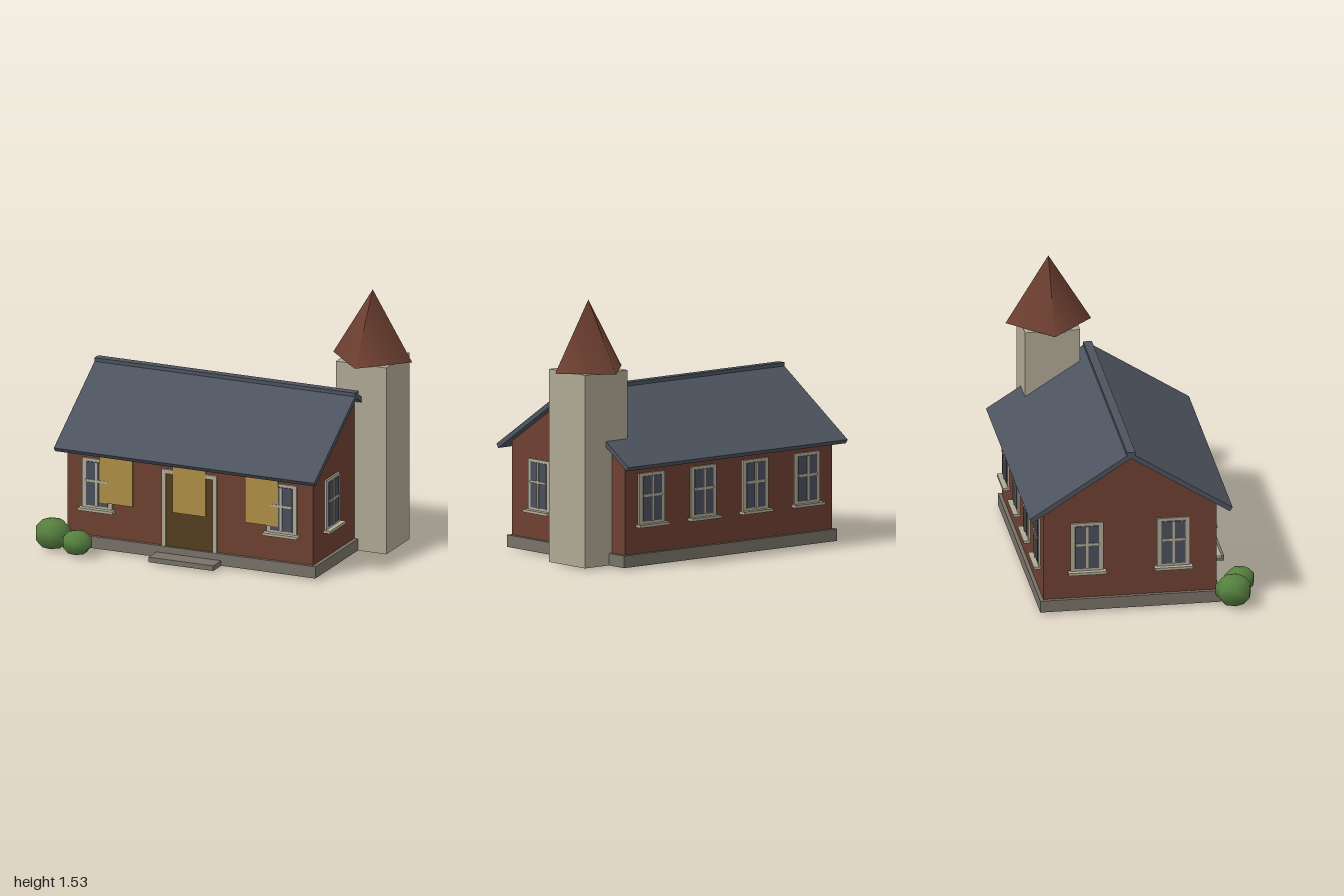
import * as THREE from 'three';

const mat = (name, color) => {
  const m = new THREE.MeshStandardMaterial({ color });
  m.name = name;
  return m;
};

export function createModel() {
  const brick = mat('brick red', 0x6e4031);
  const slate = mat('slate', 0x4d535e);
  const glass = mat('window glass', 0x4a4f5c);
  const stone = mat('pale stone', 0xb0a995);
  const base = mat('foundation grey', 0x787268);
  const wood = mat('door brown', 0x543f1e);
  const ochre = mat('ochre', 0xb08f45);
  const leaf = mat('leaf green', 0x56803f);

  const house = new THREE.Group();
  house.name = 'house';
  const CX = -0.068, CZ = -0.08;          // centre of the main building
  const HW = 0.773, HD = 0.502;           // half width and half depth of the walls

  const add = (parent, name, geometry, material, x = 0, y = 0, z = 0) => {
    const m = new THREE.Mesh(geometry, material);
    m.name = name;
    m.position.set(x, y, z);
    parent.add(m);
    return m;
  };
  const box = (parent, name, material, w, h, d, x, y, z) =>
    add(parent, name, new THREE.BoxGeometry(w, h, d), material, x, y, z);

  // Extrudes a gable profile (depth, height) along x
  const gable = (name, material, points, length) => {
    const shape = new THREE.Shape(points.map(([a, b]) => new THREE.Vector2(a, b)));
    const g = new THREE.ExtrudeGeometry(shape, { depth: length, bevelEnabled: false });
    g.translate(0, 0, -length / 2).rotateY(Math.PI / 2);
    return add(house, name, g, material, CX, 0, CZ);
  };

  // Foundation, walls and roof
  box(house, 'foundation', base, 1.592, 0.07, 1.045, CX, 0.047, CZ);
  gable('walls', brick, [[-HD, 0.08], [HD, 0.08], [HD, 0.627], [0, 0.946], [-HD, 0.627]], HW * 2);
  gable('roof', slate, [[-0.588, 0.604], [-0.572, 0.581], [0, 0.946],
    [0.572, 0.581], [0.588, 0.604], [0, 0.979]], 1.638);
  box(house, 'ridgeCap', slate, 1.638, 0.034, 0.05, CX, 0.968, CZ);

  // Window: layered frame, glass, crossing bars and a sill, facing +z
  const makeWindow = (x, z, turn) => {
    const w = new THREE.Group();
    w.name = 'window';
    box(w, 'frame', stone, 0.19, 0.3, 0.012, 0, 0.396, 0.006);
    box(w, 'pane', glass, 0.138, 0.262, 0.008, 0, 0.397, 0.013);
    box(w, 'uprightBar', stone, 0.014, 0.262, 0.006, 0, 0.397, 0.02);
    box(w, 'crossBar', stone, 0.138, 0.014, 0.006, 0, 0.416, 0.02);
    box(w, 'sill', stone, 0.22, 0.016, 0.042, 0, 0.243, 0.021);
    w.position.set(x, 0, z);
    w.rotation.y = turn;
    house.add(w);
  };
  for (const s of [-1, 1]) makeWindow(CX + s * 0.58, CZ + HD, 0);
  for (const k of [-1.5, -0.5, 0.5, 1.5]) makeWindow(CX + k * 0.387, CZ - HD, Math.PI);
  for (const s of [-1, 1]) makeWindow(CX - HW, CZ + s * 0.25, -Math.PI / 2);
  makeWindow(CX + HW, CZ + 0.25, Math.PI / 2);

  // Door with its surround and step
  const front = CZ + HD;
  box(house, 'door', wood, 0.3, 0.436, 0.008, CX, 0.3, front + 0.004);
  for (const s of [-1, 1])
    box(house, 'doorJamb', stone, 0.024, 0.46, 0.016, CX + s * 0.16, 0.312, front + 0.008);
  box(house, 'doorLintel', stone, 0.344, 0.025, 0.016, CX, 0.53, front + 0.008);
  box(house, 'doorStep', base, 0.408, 0.03, 0.13, CX, 0.027, 0.488);

  // Hanging panels under the front eave
  for (const k of [-1, 0, 1])
    box(house, 'frontPanel', ochre, 0.207, 0.292, 0.008, CX + k * 0.457, 0.437, front + 0.0155);

  // Tower with a four-sided spire turned corner to front
  box(house, 'tower', stone, 0.316, 1.118, 0.32, 0.748, 0.571, -0.307);
  add(house, 'spire', new THREE.ConeGeometry(0.248, 0.405, 4), brick, 0.748, 1.3325, -0.307);

  // Bushes at the front corner
  for (const [x, y, z, r, ry] of [[-0.893, 0.093, 0.513, 0.11, 0.093], [-0.71, 0.08, 0.577, 0.092, 0.073]]) {
    const bush = add(house, 'bush', new THREE.SphereGeometry(1, 7, 5), leaf, x, y, z);
    bush.scale.set(r, ry, r);
  }
  return house;
}
